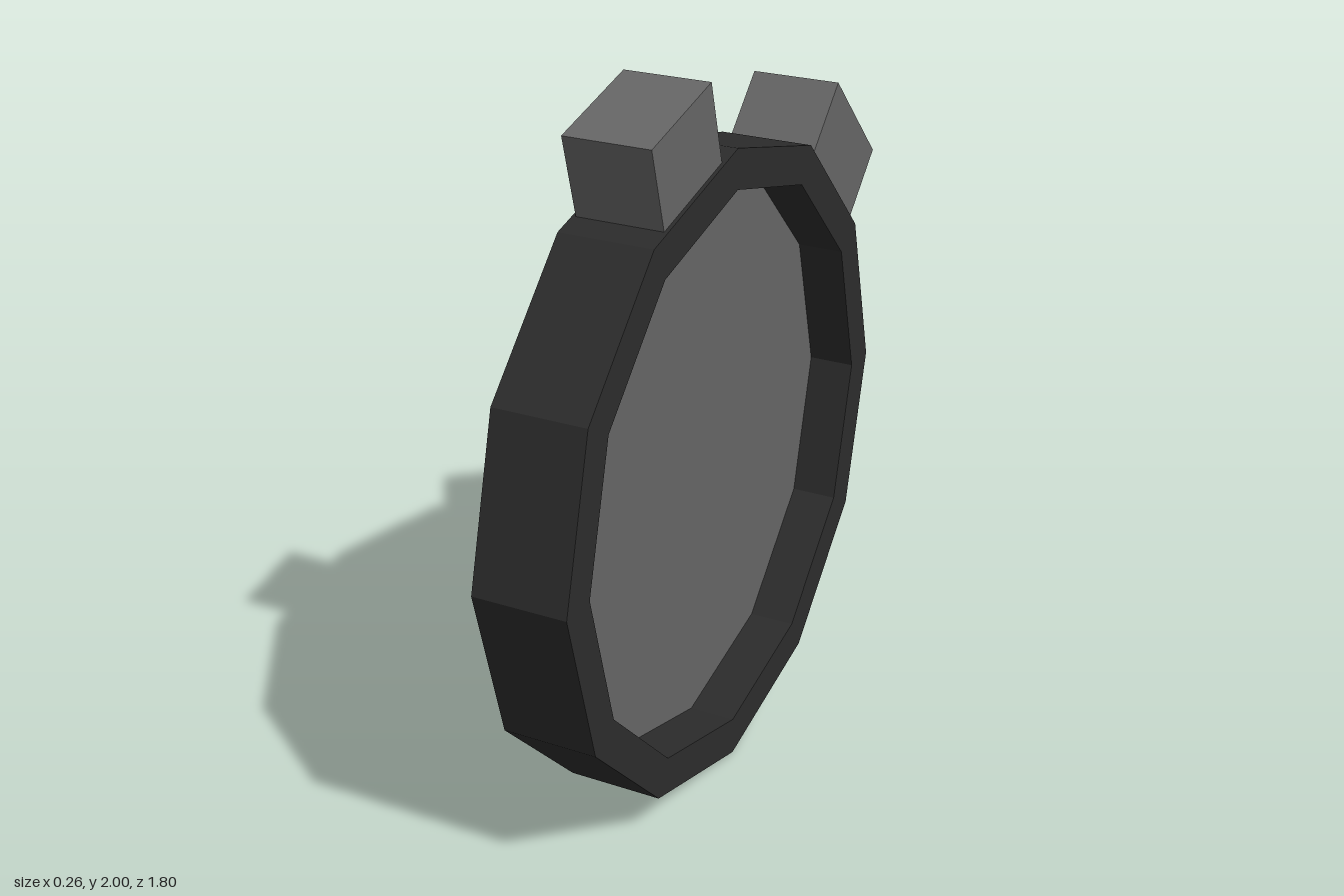
import * as THREE from 'three';

const SIDES = 12, OUTER = 0.9, HALF = 0.132;
const LEFT = { radius: 0.79, x: 0 };       // deep recess on the +x side
const RIGHT = { radius: 0.748, x: -0.05 }; // shallower, narrower recess on the -x side
const rad = THREE.MathUtils.degToRad;

export function createModel() {
  const group = new THREE.Group();
  const dark = new THREE.MeshStandardMaterial({ color: 0x2c2c2c, flatShading: true });
  const grey = new THREE.MeshStandardMaterial({ color: 0x666666, flatShading: true });

  function add(name, geometry, material) {
    const mesh = new THREE.Mesh(geometry, material);
    mesh.name = name;
    mesh.position.y = OUTER;
    group.add(mesh);
    return mesh;
  }

  // Twelve-sided rim: profile of radius and x, turned about the x axis
  const profile = [
    [RIGHT.radius, RIGHT.x], [RIGHT.radius, -HALF], [OUTER, -HALF],
    [OUTER, HALF], [LEFT.radius, HALF], [LEFT.radius, LEFT.x],
  ].map(([r, x]) => new THREE.Vector2(r, x));
  add('rim', new THREE.LatheGeometry(profile, SIDES).rotateZ(-Math.PI / 2), dark);

  // Flat plates at the bottom of the two recesses
  const addPlate = (name, { radius, x }, turn) => {
    const geometry = new THREE.CircleGeometry(radius, SIDES).rotateY(turn);
    add(name, geometry, grey).position.x = x;
  };
  addPlate('leftPlate', LEFT, Math.PI / 2);
  addPlate('rightPlate', RIGHT, -Math.PI / 2);

  // Blocks seated on two rim facets: angle from the top towards the front.
  // Each has one dark face (box side order: +x, -x, +y, -y, +z, -z).
  const addBlock = (name, angle, width, length, top, darkSide) => {
    const base = OUTER * Math.cos(Math.PI / SIDES) - 0.005;
    const geometry = new THREE.BoxGeometry(width, top - base, length);
    geometry.translate(0, (top + base) / 2, 0);
    const materials = Array.from({ length: 6 }, (_, i) => (i === darkSide ? dark : grey));
    add(name, geometry, materials).rotation.x = rad(angle);
  };
  addBlock('topBlock', 15, 0.243, 0.32, 1.098, 5);
  addBlock('backBlock', -45, 0.255, 0.38, 1.089, 2);

  return group;
}
